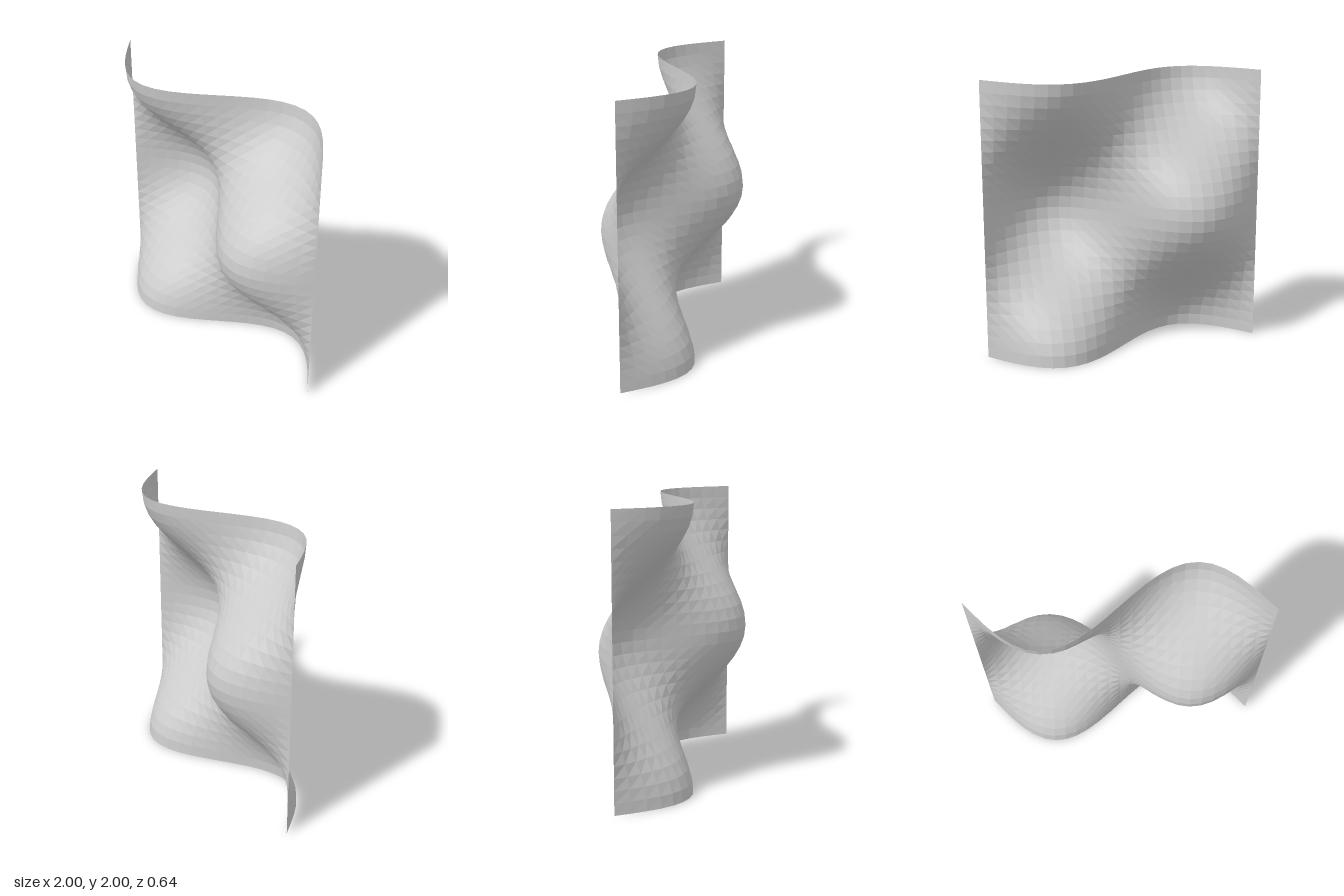
import * as THREE from 'three';

export function createModel() {
  const model = new THREE.Group();
  model.name = 'waveSurface';

  const lightGrey = new THREE.MeshStandardMaterial({
    color: 0xcccccc,
    flatShading: true,
    side: THREE.DoubleSide,
  });
  lightGrey.name = 'lightGrey';

  // Square sheet, one full wave across and one full wave up
  const sheet = new THREE.PlaneGeometry(2, 2, 24, 24).translate(0, 1, 0);
  const pos = sheet.attributes.position;
  const height = 1 / Math.PI;
  for (let i = 0; i < pos.count; i++) {
    const x = pos.getX(i), y = pos.getY(i);
    pos.setZ(i, -height * Math.sin(Math.PI * x) * Math.cos(Math.PI * y));
  }

  // Separate faces so every facet keeps its own normal
  const faceted = sheet.toNonIndexed();
  faceted.computeVertexNormals();

  const mesh = new THREE.Mesh(faceted, lightGrey);
  mesh.name = 'rippledSheet';
  model.add(mesh);
  return model;
}
